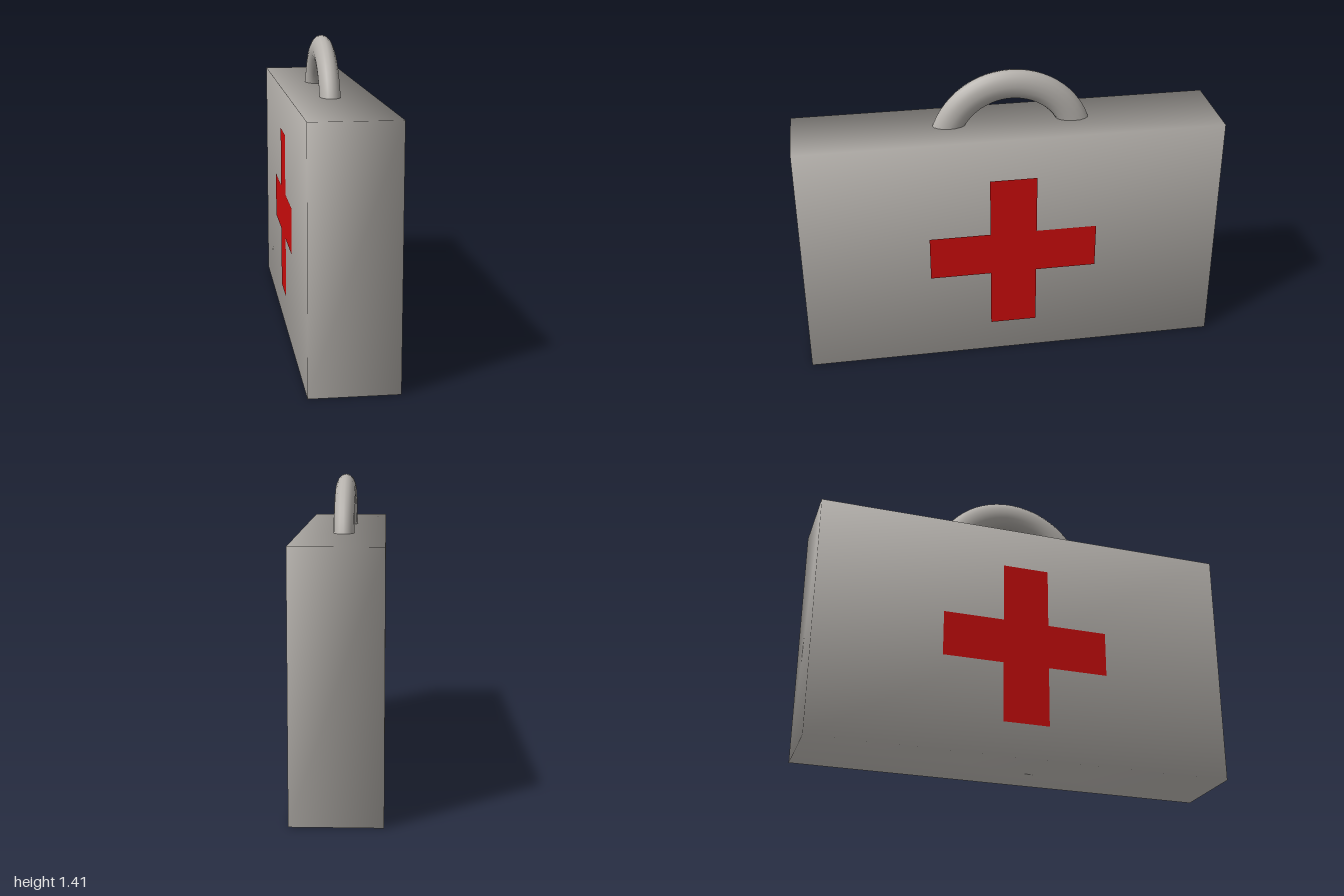
import * as THREE from 'three';
import { mergeVertices } from 'three/addons/utils/BufferGeometryUtils.js';

export function createModel() {
  const group = new THREE.Group();
  const grey = new THREE.MeshStandardMaterial({ color: 0xb6b2ad });
  grey.name = 'warm grey';
  const red = new THREE.MeshStandardMaterial({ color: 0xcc0c0c });
  red.name = 'red';

  const add = (name, geometry, material) => {
    const mesh = new THREE.Mesh(geometry, material);
    mesh.name = name;
    group.add(mesh);
    return mesh;
  };

  // Case: a box whose corners share their normals, so it shades smoothly
  const height = 1.157;
  let box = new THREE.BoxGeometry(0.395, height, 2);
  box.deleteAttribute('normal');
  box.deleteAttribute('uv');
  box = mergeVertices(box);
  box.computeVertexNormals();
  box.translate(-0.0045, height / 2, 0);
  add('case', box, grey);

  // Handle: an oval tube bent into an arch that runs down into the case
  const arch = new THREE.TorusGeometry(0.323, 0.07, 16, 32, Math.PI);
  arch.rotateY(Math.PI / 2);
  arch.scale(0.69, 1, 1);
  arch.translate(-0.012, 1.022, -0.02);
  add('handle', arch, grey);

  // Crosses: one flat plate on each broad side
  const arm = 0.4, half = 0.111, low = 0.452, high = 0.67, bottom = 0.163, top = 0.957;
  const outline = [
    [-half, bottom], [half, bottom], [half, low], [arm, low], [arm, high], [half, high],
    [half, top], [-half, top], [-half, high], [-arm, high], [-arm, low], [-half, low],
  ];
  const shape = new THREE.Shape(outline.map(([x, y]) => new THREE.Vector2(x, y)));
  for (const [name, side, x] of [['leftCross', 1, 0.2], ['rightCross', -1, -0.2045]]) {
    const cross = add(name, new THREE.ShapeGeometry(shape), red);
    cross.rotation.y = side * Math.PI / 2;
    cross.position.x = x;
  }

  return group;
}
